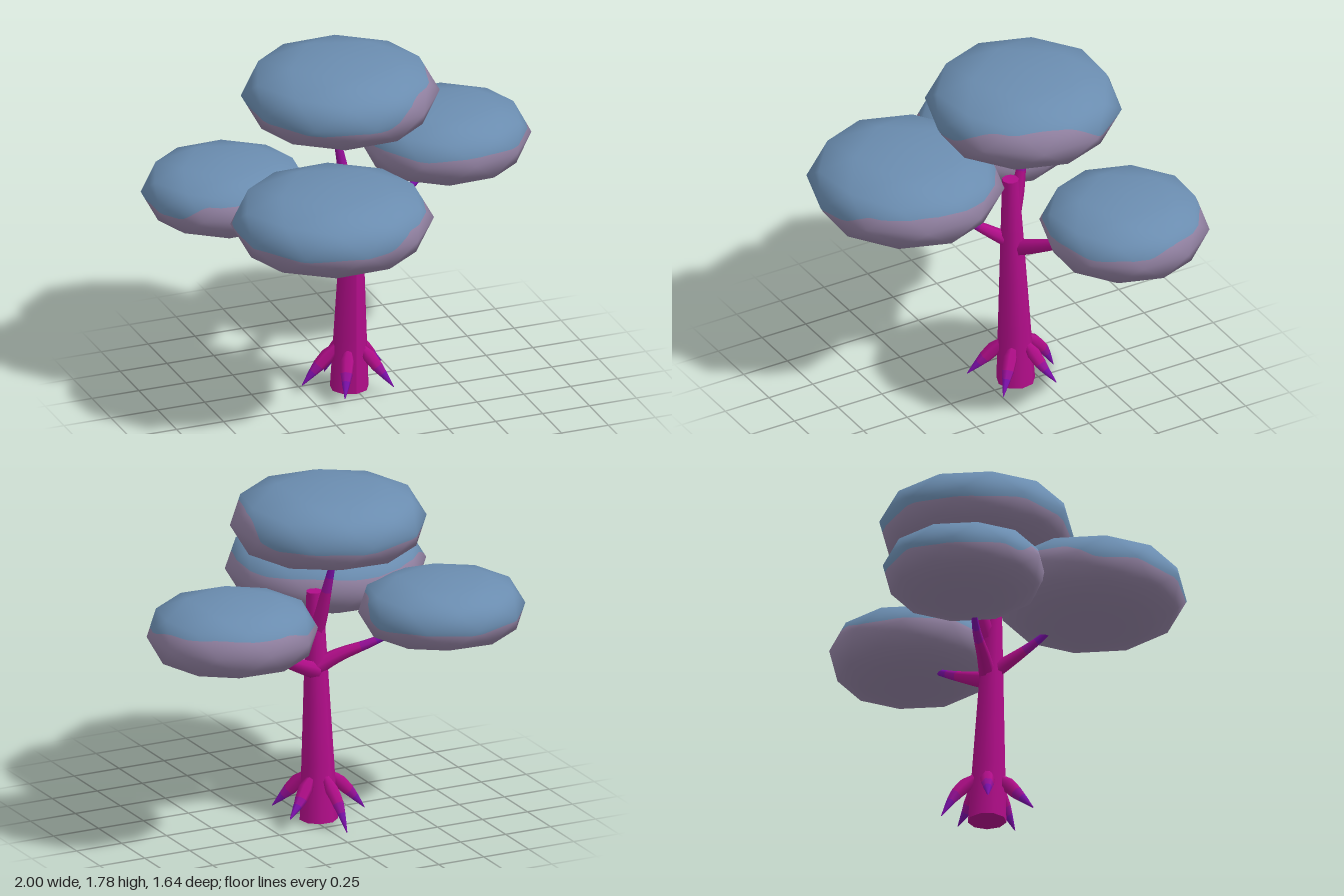
import * as THREE from 'three';
import { mergeVertices } from 'three/addons/utils/BufferGeometryUtils.js';

const material = (name, color) => {
  const m = new THREE.MeshStandardMaterial({ color });
  m.name = name;
  return m;
};
const V = (x, y, z) => new THREE.Vector3(x, y, z);
const rad = THREE.MathUtils.degToRad;

// Faceted, flattened ball with smooth normals
function crownBall(rx, ry, rz) {
  let geo = new THREE.IcosahedronGeometry(1, 1);
  geo.rotateZ(Math.atan(2 / (1 + Math.sqrt(5))));
  geo.deleteAttribute('uv');
  geo.deleteAttribute('normal');
  const p = geo.attributes.position;
  for (let i = 0; i < p.count; i++) {
    const y = p.getY(i);
    p.setXYZ(i, p.getX(i) * rx, Math.sign(y) * Math.abs(y) ** 0.7 * ry, p.getZ(i) * rz);
  }
  geo = mergeVertices(geo, 1e-4);
  geo.computeVertexNormals();
  return geo.toNonIndexed();
}

// Cut a geometry along height(x, z) into an upper and a lower part
function splitByHeight(geo, height) {
  const parts = [{ pos: [], nor: [] }, { pos: [], nor: [] }];
  const mix = (a, b, t) => ({ p: a.p.clone().lerp(b.p, t), n: a.n.clone().lerp(b.n, t).normalize() });
  const side = (v) => v.p.y - height(v.p.x, v.p.z);
  const emit = (poly, part) => {
    for (let i = 1; i + 1 < poly.length; i++) {
      for (const v of [poly[0], poly[i], poly[i + 1]]) {
        part.pos.push(v.p.x, v.p.y, v.p.z);
        part.nor.push(v.n.x, v.n.y, v.n.z);
      }
    }
  };
  const cut = (a, b, c, depth) => {
    if (depth > 0) {
      const ab = mix(a, b, 0.5), bc = mix(b, c, 0.5), ca = mix(c, a, 0.5);
      for (const t of [[a, ab, ca], [ab, b, bc], [ca, bc, c], [ab, bc, ca]]) cut(...t, depth - 1);
      return;
    }
    const polys = [[], []];
    [[a, b], [b, c], [c, a]].forEach(([u, v]) => {
      const su = side(u), sv = side(v);
      polys[su >= 0 ? 0 : 1].push(u);
      if ((su >= 0) !== (sv >= 0)) {
        const w = mix(u, v, su / (su - sv));
        polys[0].push(w);
        polys[1].push(w);
      }
    });
    polys.forEach((poly, i) => emit(poly, parts[i]));
  };
  const { position, normal } = geo.attributes;
  const vert = (i) => ({ p: V().fromBufferAttribute(position, i), n: V().fromBufferAttribute(normal, i) });
  for (let i = 0; i < position.count; i += 3) cut(vert(i), vert(i + 1), vert(i + 2), 3);
  return parts.map(({ pos, nor }) => {
    const g = new THREE.BufferGeometry();
    g.setAttribute('position', new THREE.Float32BufferAttribute(pos, 3));
    g.setAttribute('normal', new THREE.Float32BufferAttribute(nor, 3));
    return g;
  });
}

// Tapered limb along a curve, coloured in three stretches from base to tip
function limb(name, points, radii, materials, sides = 7) {
  const segs = 12;
  const curve = new THREE.CatmullRomCurve3(points);
  const geo = new THREE.TubeGeometry(curve, segs, 1, sides);
  const p = geo.attributes.position, v = V();
  for (let i = 0; i < p.count; i++) {
    const t = Math.floor(i / (sides + 1)) / segs;
    const s = t * (radii.length - 1), k = Math.min(Math.floor(s), radii.length - 2);
    const r = THREE.MathUtils.lerp(radii[k], radii[k + 1], s - k);
    const c = curve.getPointAt(t);
    v.fromBufferAttribute(p, i).sub(c).multiplyScalar(r).add(c);
    p.setXYZ(i, v.x, v.y, v.z);
  }
  const ring = sides * 6;
  geo.addGroup(0, ring * 6, 0);
  geo.addGroup(ring * 6, ring * 2, 1);
  geo.addGroup(ring * 8, ring * 4, 2);
  const mesh = new THREE.Mesh(geo, materials);
  mesh.name = name;
  return mesh;
}

export function createModel() {
  const model = new THREE.Group();
  model.name = 'tree';
  const leafTop = material('blue leaves', 0x6a8caf);
  const leafUnder = material('mauve leaf underside', 0x9080a0);
  const bark = material('magenta bark', 0xb00d88);
  const barkMid = material('plum bark', 0x960f98);
  const barkTip = material('purple bark tips', 0x7a0fa8);
  const limbMaterials = [bark, barkMid, barkTip];

  // Trunk: tapering rings with a slight lean
  const trunkGeo = new THREE.CylinderGeometry(0.042, 0.097, 1.18, 9, 4);
  const tp = trunkGeo.attributes.position;
  for (let i = 0; i < tp.count; i++) {
    const t = tp.getY(i) / 1.18 + 0.5;
    tp.setXYZ(i, tp.getX(i) - 0.025 + 0.005 * t, tp.getY(i) + 0.6, tp.getZ(i) - 0.135 + 0.033 * t);
  }
  trunkGeo.computeVertexNormals();
  const trunk = new THREE.Mesh(trunkGeo, bark);
  trunk.name = 'trunk';
  model.add(trunk);

  // Branches reaching into each crown
  const branches = [
    ['leftBranch', [V(-0.02, 0.78, -0.13), V(0.1, 0.84, -0.17), V(0.3, 0.945, -0.25), V(0.52, 1.07, -0.34)]],
    ['frontBranch', [V(-0.02, 0.8, -0.14), V(-0.05, 0.86, -0.05), V(-0.11, 0.95, 0.08), V(-0.2, 1.04, 0.2)]],
    ['rightBranch', [V(-0.01, 0.8, -0.13), V(-0.12, 0.86, -0.17), V(-0.27, 0.92, -0.23), V(-0.44, 0.99, -0.28)]],
    ['topBranch', [V(-0.02, 0.98, -0.11), V(-0.035, 1.1, -0.15), V(-0.055, 1.27, -0.19), V(-0.08, 1.44, -0.22)]],
  ];
  for (const [name, points] of branches) {
    model.add(limb(name, points, [0.045, 0.036, 0.026, 0.018, 0.008], limbMaterials));
  }

  // Five spiky roots around the trunk
  const tipHeights = [0.05, 0.05, 0.04, 0, 0.07];
  for (let i = 0; i < 5; i++) {
    const a = rad(45 + 72 * i);
    const at = (r, y) => V(-0.025 + r * Math.cos(a), y, -0.135 + r * Math.sin(a));
    const points = [at(0.06, 0.24), at(0.1, 0.2), at(0.165, 0.13), at(0.24, tipHeights[i])];
    model.add(limb('root', points, [0.018, 0.037, 0.032, 0.018, 0.002], limbMaterials, 6));
  }

  // Crowns: centre, radii, and a colour border that rises to hi around the angle phi
  const crowns = [
    { name: 'topCrown', c: [-0.05, 1.587, -0.193], r: [0.494, 0.197, 0.488], lo: -0.03, hi: 0.09, phi: 25, edge: 0.75 },
    { name: 'frontCrown', c: [-0.305, 1.157, 0.333], r: [0.508, 0.198, 0.486], lo: -0.015, hi: 0.06, phi: -50, edge: -0.4 },
    { name: 'leftCrown', c: [0.59, 1.165, -0.4], r: [0.431, 0.185, 0.42], lo: 0.03, hi: 0.075, phi: -60, edge: 0.5 },
    { name: 'rightCrown', c: [-0.6, 1.09, -0.35], r: [0.421, 0.172, 0.41], lo: -0.02, hi: 0.07, phi: 70, edge: 0.4 },
  ];
  for (const { name, c, r, lo, hi, phi, edge } of crowns) {
    const border = (x, z) => {
      const angle = Math.atan2(z, x);
      const rise = THREE.MathUtils.smoothstep(Math.cos(angle - rad(phi)), edge - 0.2, edge + 0.2);
      return lo + (hi - lo) * rise + 0.006 * Math.sin(angle * 5);
    };
    const crown = new THREE.Group();
    crown.name = name;
    splitByHeight(crownBall(...r), border).forEach((geo, i) => {
      const mesh = new THREE.Mesh(geo, i ? leafUnder : leafTop);
      mesh.name = i ? 'crownUnderside' : 'crownTop';
      crown.add(mesh);
    });
    crown.position.set(...c);
    model.add(crown);
  }
  return model;
}
